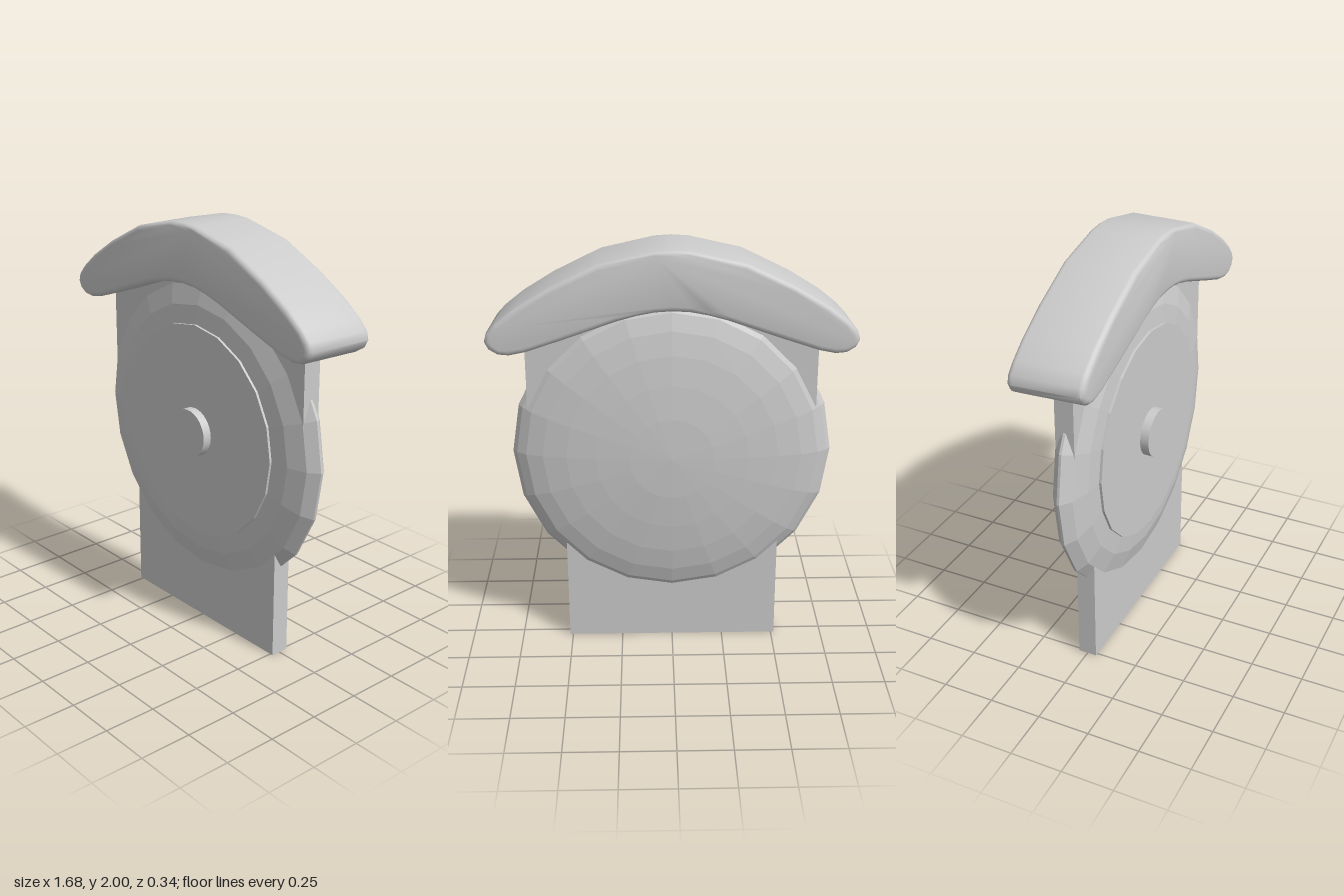
import * as THREE from 'three';
import { toCreasedNormals } from 'three/addons/utils/BufferGeometryUtils.js';

const SIDES = 20;
const DISC_Y = 1.0;
const HALF = 0.045; // half thickness of the plates

const smooth = new THREE.MeshStandardMaterial({ color: 0xcccccc });
const faceted = new THREE.MeshStandardMaterial({ color: 0xcccccc, flatShading: true });

function add(group, name, geometry, material = smooth) {
  const mesh = new THREE.Mesh(geometry, material);
  mesh.name = name;
  group.add(mesh);
  return mesh;
}

// Symmetric outline from points on the +x side, listed bottom centre to top centre
function mirroredShape(points) {
  const right = points.map(([x, y]) => new THREE.Vector2(x, y));
  const left = right.filter(p => p.x > 0).reverse().map(p => new THREE.Vector2(-p.x, p.y));
  return new THREE.Shape([...right, ...left]);
}

function rectangle(Type, w, d) {
  return new Type([[-w, -d], [w, -d], [w, d], [-w, d]].map(([x, y]) => new THREE.Vector2(x, y)));
}

// Cylinder facing the front, with a corner on the +x axis
function frontDisc(radius, z0, z1, sides) {
  const g = new THREE.CylinderGeometry(radius, radius, z1 - z0, sides);
  g.rotateX(Math.PI / 2);
  g.translate(0, DISC_Y, (z0 + z1) / 2);
  return g;
}

export function createModel() {
  const model = new THREE.Group();
  model.name = 'model';

  // Lower plate, with a slot open at the bottom
  const base = rectangle(THREE.Shape, 0.515, HALF);
  base.holes.push(rectangle(THREE.Path, 0.465, 0.022));
  const baseGeo = new THREE.ExtrudeGeometry(base, { depth: 0.62, bevelEnabled: false });
  baseGeo.rotateX(-Math.PI / 2);
  add(model, 'lowerPlate', baseGeo);
  const slotTop = new THREE.BoxGeometry(0.94, 0.04, 0.05);
  slotTop.translate(0, 0.06, 0);
  add(model, 'slotCeiling', slotTop);

  // Upper plate, its arched top hidden in the cap
  const upper = mirroredShape([[0, 1.15], [0.675, 1.15], [0.675, 1.62], [0.4, 1.75], [0, 1.85]]);
  const upperGeo = new THREE.ExtrudeGeometry(upper, { depth: 2 * HALF, bevelEnabled: false });
  upperGeo.translate(0, 0, -HALF);
  add(model, 'upperPlate', upperGeo);

  // Round body: domed back, thin rim, bevelled flat front
  const profile = [
    [0, -0.142], [0.2, -0.135], [0.36, -0.121], [0.5, -0.104], [0.61, -0.083],
    [0.69, -0.058], [0.735, -0.03], [0.755, -0.006], [0.755, 0.006],
    [0.705, 0.045], [0.61, 0.072], [0.52, 0.08], [0, 0.08],
  ].map(([r, z]) => new THREE.Vector2(r, z));
  const body = new THREE.LatheGeometry(profile, SIDES);
  body.rotateX(Math.PI / 2);
  body.translate(0, DISC_Y, 0);
  add(model, 'roundBody', body, faceted);

  // Raised face plate and centre knob
  add(model, 'facePlate', frontDisc(0.52, 0.06, 0.092, SIDES), faceted);
  add(model, 'centreKnob', frontDisc(0.117, 0.08, 0.135, 32));

  // Curved cap with rounded edges, narrowing slightly to the front
  const capShape = mirroredShape([
    [0, 1.725], [0.08, 1.72], [0.16, 1.705], [0.25, 1.68], [0.5, 1.593], [0.66, 1.54],
    [0.735, 1.525], [0.785, 1.53], [0.825, 1.555], [0.843, 1.59], [0.832, 1.63],
    [0.79, 1.675], [0.7, 1.745], [0.55, 1.835], [0.33, 1.94], [0.08, 1.995], [0, 2],
  ]);
  const bevel = 0.025;
  const cap = new THREE.ExtrudeGeometry(capShape, {
    depth: 0.344 - 2 * bevel, bevelThickness: bevel, bevelSize: bevel,
    bevelOffset: -bevel, bevelSegments: 4,
  });
  cap.translate(0, 0, -0.172 + bevel);
  const pos = cap.attributes.position;
  for (let i = 0; i < pos.count; i++) {
    const t = (pos.getZ(i) + 0.172) / 0.344;
    pos.setX(i, pos.getX(i) * (1 - 0.025 * t));
  }
  add(model, 'curvedCap', toCreasedNormals(cap, 0.75));

  return model;
}
